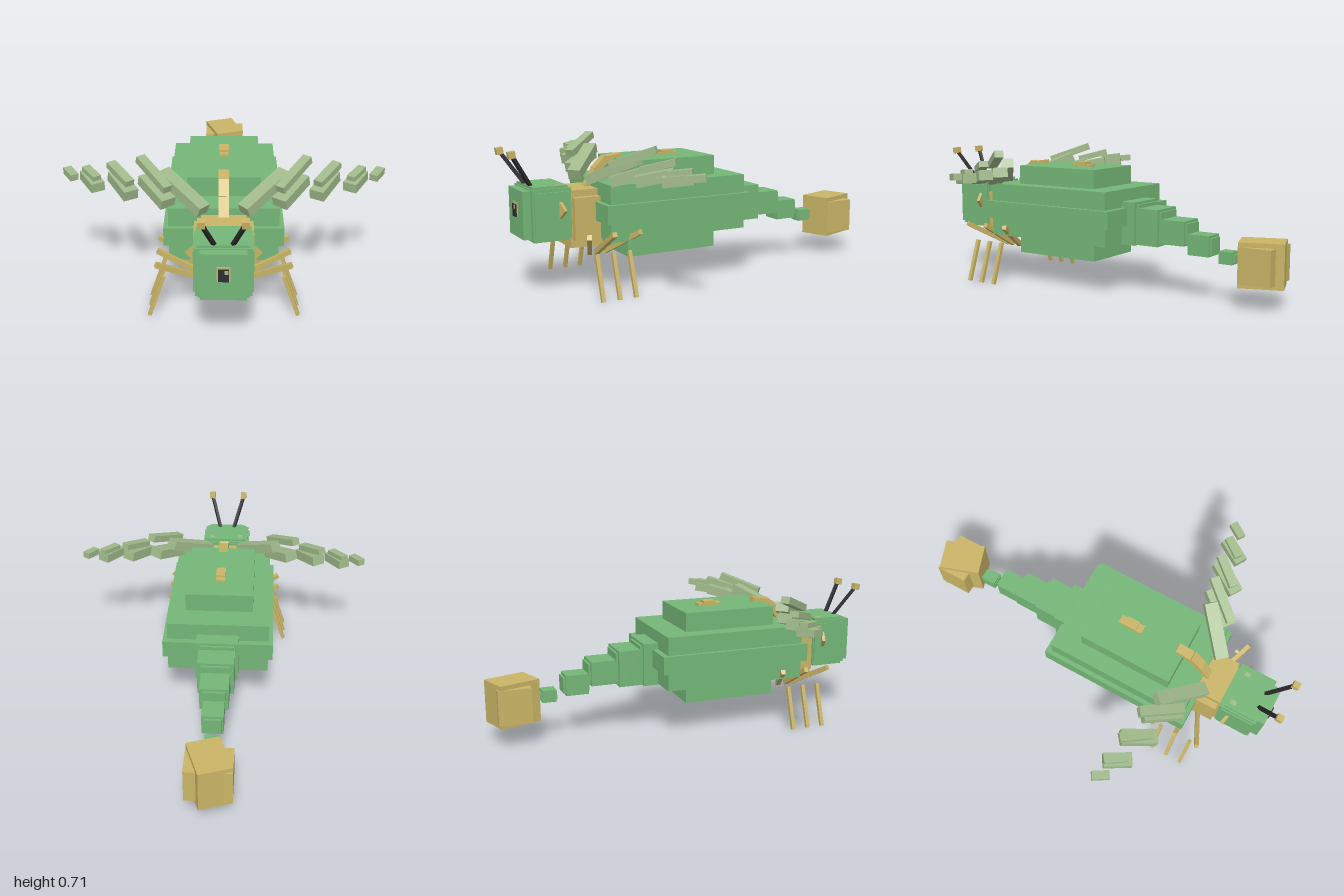
import * as THREE from 'three';

const mat = (name, color) => {
  const m = new THREE.MeshStandardMaterial({ color });
  m.name = name;
  return m;
};

export function createModel() {
  const green = mat('leaf green', 0x74b677);
  const tan = mat('tan', 0xc9b466);
  const sage = mat('sage', 0xa0b98a);
  const dark = mat('charcoal', 0x2c2c2e);
  const model = new THREE.Group();
  model.name = 'blockyInsect';

  // Box given by its limits on each axis
  function block(name, m, [x0, x1], [y0, y1], [z0, z1], parent = model) {
    const mesh = new THREE.Mesh(new THREE.BoxGeometry(x1 - x0, y1 - y0, z1 - z0), m);
    mesh.position.set((x0 + x1) / 2, (y0 + y1) / 2, (z0 + z1) / 2);
    mesh.name = name;
    parent.add(mesh);
    return mesh;
  }
  const centred = (name, m, half, y, z) => block(name, m, [-half, half], y, z);

  // Box stretched between two points
  function bar(name, m, a, b, w, h, parent = model) {
    const p = new THREE.Vector3(...a), q = new THREE.Vector3(...b);
    const mesh = new THREE.Mesh(new THREE.BoxGeometry(w, h, p.distanceTo(q)), m);
    mesh.position.copy(p).add(q).multiplyScalar(0.5);
    mesh.lookAt(q);
    mesh.name = name;
    parent.add(mesh);
    return mesh;
  }

  // Abdomen: three crossing slabs
  centred('abdomenWide', green, 0.275, [0.34, 0.43], [-0.185, 0.595]);
  centred('abdomenMiddle', green, 0.253, [0.25, 0.52], [-0.155, 0.57]);
  centred('abdomenTall', green, 0.17, [0.153, 0.615], [-0.03, 0.447]);

  // Tail: shrinking segments, each with a slimmer, longer core
  [
    [0.105, 0.245, 0.46, -0.23, -0.14],
    [0.09, 0.248, 0.43, -0.353, -0.22],
    [0.07, 0.262, 0.383, -0.49, -0.34],
    [0.052, 0.22, 0.322, -0.615, -0.5],
    [0.033, 0.192, 0.253, -0.73, -0.66],
  ].forEach(([half, y0, y1, z0, z1]) => {
    centred('tailSegment', green, half, [y0, y1], [z0, z1]);
    centred('tailCore', green, half * 0.8, [y0 + 0.012, y1 - 0.012], [z0 - 0.012, z1 + 0.005]);
  });

  // Tail knob: one straight and one turned block
  centred('tailKnob', tan, 0.11, [0.125, 0.298], [-0.958, -0.795]);
  const knob = centred('tailKnobTurned', tan, 0.08, [0.106, 0.32], [-0.976, -0.764]);
  knob.rotation.y = 0.33;

  // Thorax
  centred('thorax', tan, 0.135, [0.25, 0.455], [0.56, 0.7]);
  centred('thoraxCore', tan, 0.103, [0.213, 0.487], [0.55, 0.71]);

  // Head
  centred('headCore', green, 0.13, [0.285, 0.49], [0.72, 0.89]);
  centred('headTall', green, 0.113, [0.258, 0.517], [0.725, 0.893]);
  centred('headLong', green, 0.1, [0.275, 0.5], [0.705, 0.938]);
  centred('headEdge', green, 0.123, [0.27, 0.506], [0.712, 0.9]);

  // Face spot
  centred('faceSpotRim', tan, 0.03, [0.37, 0.44], [0.936, 0.942]);
  centred('faceSpot', dark, 0.023, [0.372, 0.43], [0.94, 0.948]);
  block('faceSpotGlint', sage, [0.004, 0.02], [0.41, 0.428], [0.947, 0.95]);

  // Crest arching from thorax to the back, and the back stud
  bar('crestLower', tan, [0, 0.48, 0.585], [0, 0.57, 0.53], 0.048, 0.035);
  bar('crestMiddle', tan, [0, 0.56, 0.54], [0, 0.618, 0.48], 0.048, 0.035);
  bar('crestUpper', tan, [0, 0.61, 0.49], [0, 0.622, 0.405], 0.048, 0.03);
  centred('backStud', tan, 0.024, [0.6, 0.637], [0.125, 0.19]);
  centred('backStudBase', tan, 0.022, [0.6, 0.626], [0.095, 0.22]);

  // Wing blocks: from, to, width, height
  const wing = [
    [[0.09, 0.53, 0.61], [0.28, 0.635, 0.44], 0.065, 0.05],
    [[0.25, 0.54, 0.56], [0.365, 0.595, 0.41], 0.075, 0.05],
    [[0.25, 0.615, 0.57], [0.385, 0.69, 0.4], 0.045, 0.035],
    [[0.42, 0.56, 0.52], [0.51, 0.595, 0.375], 0.07, 0.05],
    [[0.425, 0.61, 0.5], [0.525, 0.65, 0.375], 0.045, 0.03],
    [[0.575, 0.575, 0.47], [0.645, 0.59, 0.355], 0.065, 0.045],
    [[0.58, 0.61, 0.45], [0.645, 0.622, 0.36], 0.04, 0.025],
    [[0.69, 0.598, 0.415], [0.735, 0.606, 0.345], 0.04, 0.032],
  ];

  for (const s of [1, -1]) {
    const side = new THREE.Group();
    side.name = s > 0 ? 'leftSide' : 'rightSide';
    model.add(side);
    const at = ([x, y, z]) => [s * x, y, z];

    for (const [a, b, w, h] of wing) bar('wingBlock', sage, at(a), at(b), w, h, side);

    // Antenna with a cube tip
    bar('antenna', dark, at([0.035, 0.5, 0.87]), at([0.09, 0.665, 0.977]), 0.016, 0.016, side);
    const tip = bar('antennaTip', tan, at([0.09, 0.67, 0.964]), at([0.09, 0.67, 0.996]), 0.032, 0.032, side);
    tip.rotation.x = 0.15;

    // Cheek diamond and pale crown spot
    const cheek = block('cheek', tan, [-0.05, 0.05], [-0.05, 0.05], [-0.008, 0.008], side);
    cheek.position.set(s * 0.1, 0.405, 0.775);
    cheek.rotation.set(0, s * 0.3, Math.PI / 4);
    block('crownSpot', sage, [s * 0.08 - 0.012, s * 0.08 + 0.012], [0.512, 0.519], [0.745, 0.775], side);

    // Legs: a fanned upper row and three splayed lower rods
    [[0.7, 0.61, 0.655], [0.575, 0.575, 0.572], [0.445, 0.53, 0.49]].forEach(([outer, inner, foot]) => {
      bar('upperLeg', tan, at([0.085, 0.175, inner]), at([0.305, 0.302, outer]), 0.022, 0.024, side);
      bar('lowerLeg', tan, at([0.275, 0.213, foot]), at([0.346, 0.004, foot]), 0.018, 0.018, side);
    });
  }
  return model;
}
